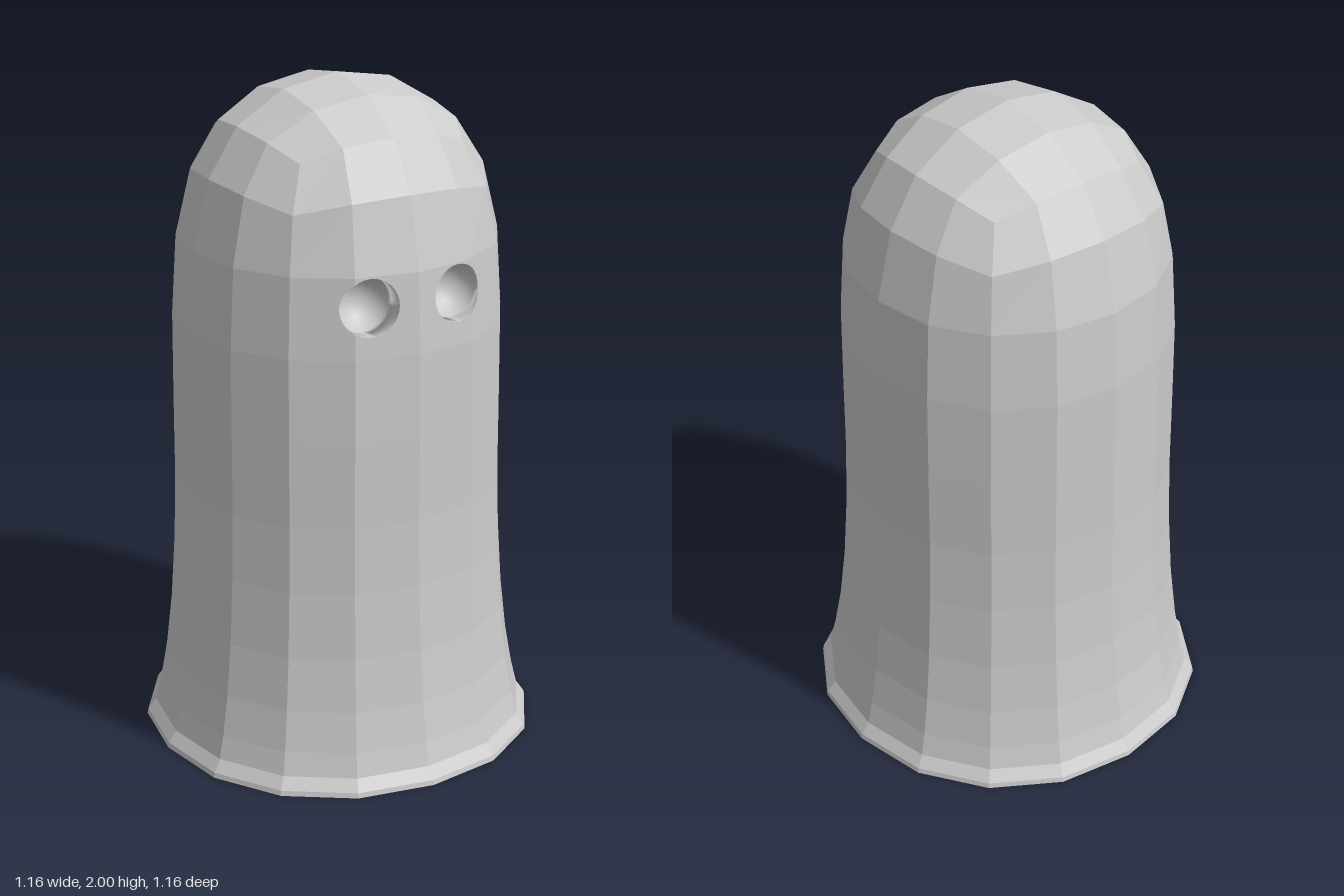
import * as THREE from 'three';
import { ParametricGeometry } from 'three/addons/geometries/ParametricGeometry.js';

// Body rings from top to bottom: half width, then (side, depth) of the second
// node and the corner node as fractions of it, and the drop of those nodes
const P = 0.398, Q = 0.933, C = 0.723;
const RINGS = [
  { r: 0.32, y: 1.88, p: 0.47, q: 0.945, c: 0.81, drop: [0.015, 0.055] },
  { r: 0.41, y: 1.74, p: 0.41, q: 0.94, c: 0.755, drop: [0.01, 0.04] },
  ...[[0.46, 1.535], [0.475, 1.3], [0.477, 1.05], [0.478, 0.8], [0.484, 0.6],
    [0.497, 0.4], [0.515, 0.24], [0.536, 0.12], [0.553, 0.05], [0.577, 0.015], [0.58, 0]]
    .map(([r, y]) => ({ r, y, p: P, q: Q, c: C, drop: [0, 0] })),
];
const EYE_ROW = 2;
const EYE = { x: 0.14, y: 1.447, r: 0.083, z: 0.41 };

// Sixteen nodes of a ring, starting at the front and turning towards +x
function ringPoints({ r, y, p, q, c, drop }) {
  const pts = [];
  for (let k = 0; k < 16; k++) {
    const m = k % 4;
    let [x, z] = [[0, 1], [p, q], [c, c], [q, p]][m];
    for (let n = 0; n < k >> 2; n++) [x, z] = [z, -x];
    pts.push(new THREE.Vector3(x * r, y - [0, drop[0], drop[1], drop[0]][m], z * r));
  }
  return pts;
}

// Point on the faceted front of the eye row; a is x as a fraction of the half width
function frontPoint(a, y) {
  const top = RINGS[EYE_ROW], low = RINGS[EYE_ROW + 1];
  const s = THREE.MathUtils.mapLinear(y, low.y, top.y, low.r, top.r);
  const b = Math.abs(a);
  const z = b < P ? 1 - (1 - Q) * b / P : Q - (Q - C) * (b - P) / (C - P);
  return new THREE.Vector3(a * s, y, z * s);
}
const midR = 0.466;
const eyeRim = (side, t) =>
  [(side * EYE.x + EYE.r * Math.cos(t)) / midR, EYE.y + EYE.r * Math.sin(t)];

function bodyGeometry() {
  const pos = [];
  const tri = (...v) => v.forEach((p) => pos.push(p.x, p.y, p.z));
  const quad = (a, b, c, d) => { tri(a, b, c); tri(a, c, d); };

  // Walls, leaving out the four front facets that hold the eyes
  const rings = RINGS.map(ringPoints);
  for (let j = 0; j < rings.length - 1; j++) {
    for (let k = 0; k < 16; k++) {
      if (j === EYE_ROW && (k < 2 || k > 13)) continue;
      const n = (k + 1) % 16;
      quad(rings[j + 1][k], rings[j + 1][n], rings[j][n], rings[j][k]);
    }
  }

  // Crown: a 4 x 4 grid closing the top ring
  const t = RINGS[0];
  const node = (i, j) => {
    const u = Math.abs(i), v = Math.abs(j), hi = Math.max(u, v), lo = Math.min(u, v);
    const [far, near, y] = {
      '00': [0, 0, 2], '10': [0.172, 0, 1.97], '11': [0.166, 0.166, 1.942],
      '20': [t.r, 0, t.y], '21': [t.r * t.q, t.r * t.p, t.y - t.drop[0]],
      '22': [t.r * t.c, t.r * t.c, t.y - t.drop[1]],
    }[`${hi}${lo}`];
    return new THREE.Vector3(Math.sign(i) * (u >= v ? far : near), y,
      Math.sign(j) * (u >= v ? near : far));
  };
  for (let i = -2; i < 2; i++) {
    for (let j = -2; j < 2; j++) {
      quad(node(i, j), node(i, j + 1), node(i + 1, j + 1), node(i + 1, j));
    }
  }

  // Front facets with the round eye openings, mirrored left to right
  const y1 = RINGS[EYE_ROW].y, y0 = RINGS[EYE_ROW + 1].y;
  const cut = Math.acos((P * midR - EYE.x) / EYE.r);
  const arc = (from, to, n) => Array.from({ length: n + 1 }, (_, i) =>
    eyeRim(1, from + (to - from) * i / n));
  const panels = [
    [[0, y0], [P, y0], ...arc(-cut, cut - 2 * Math.PI, 22), [P, y1], [0, y1]],
    [[P, y0], [C, y0], [C, y1], [P, y1], ...arc(cut, -cut, 10)],
  ];
  for (const panel of panels) {
    const outline = panel.map(([a, y]) => new THREE.Vector2(a, y));
    for (const [i, j, k] of THREE.ShapeUtils.triangulateShape(outline, [])) {
      const corner = (n, side) => frontPoint(side * outline[n].x, outline[n].y);
      tri(corner(i, 1), corner(j, 1), corner(k, 1));
      tri(corner(i, -1), corner(k, -1), corner(j, -1));
    }
  }

  const geo = new THREE.BufferGeometry();
  geo.setAttribute('position', new THREE.Float32BufferAttribute(pos, 3));
  geo.computeVertexNormals();
  return geo;
}

// Round bowl sunk behind an eye opening
function eyeSocketGeometry(side) {
  return new ParametricGeometry((u, v, target) => {
    const t = u * 2 * Math.PI;
    const rim = frontPoint(...eyeRim(side, t));
    if (v < 0.1) {
      // Short straight wall from the opening to the bowl
      rim.z = THREE.MathUtils.lerp(rim.z, EYE.z, Math.max(v, 0) * 10);
      target.copy(rim);
      return;
    }
    const phi = (1 - v) / 0.9 * Math.PI / 2;
    const flat = EYE.r * Math.sin(phi);
    target.set(side * EYE.x + flat * Math.cos(t), EYE.y + flat * Math.sin(t),
      EYE.z - EYE.r * Math.cos(phi));
  }, 32, 10);
}

export function createModel() {
  const group = new THREE.Group();
  group.name = 'ghost';

  const body = new THREE.Mesh(bodyGeometry(), new THREE.MeshStandardMaterial({
    color: 0xcccccc, flatShading: true, side: THREE.DoubleSide }));
  body.name = 'sheetBody';
  group.add(body);

  const socketMaterial = new THREE.MeshStandardMaterial({
    color: 0xcccccc, side: THREE.DoubleSide });
  for (const side of [1, -1]) {
    const eye = new THREE.Mesh(eyeSocketGeometry(side), socketMaterial);
    eye.name = side > 0 ? 'leftEyeSocket' : 'rightEyeSocket';
    group.add(eye);
  }
  return group;
}
